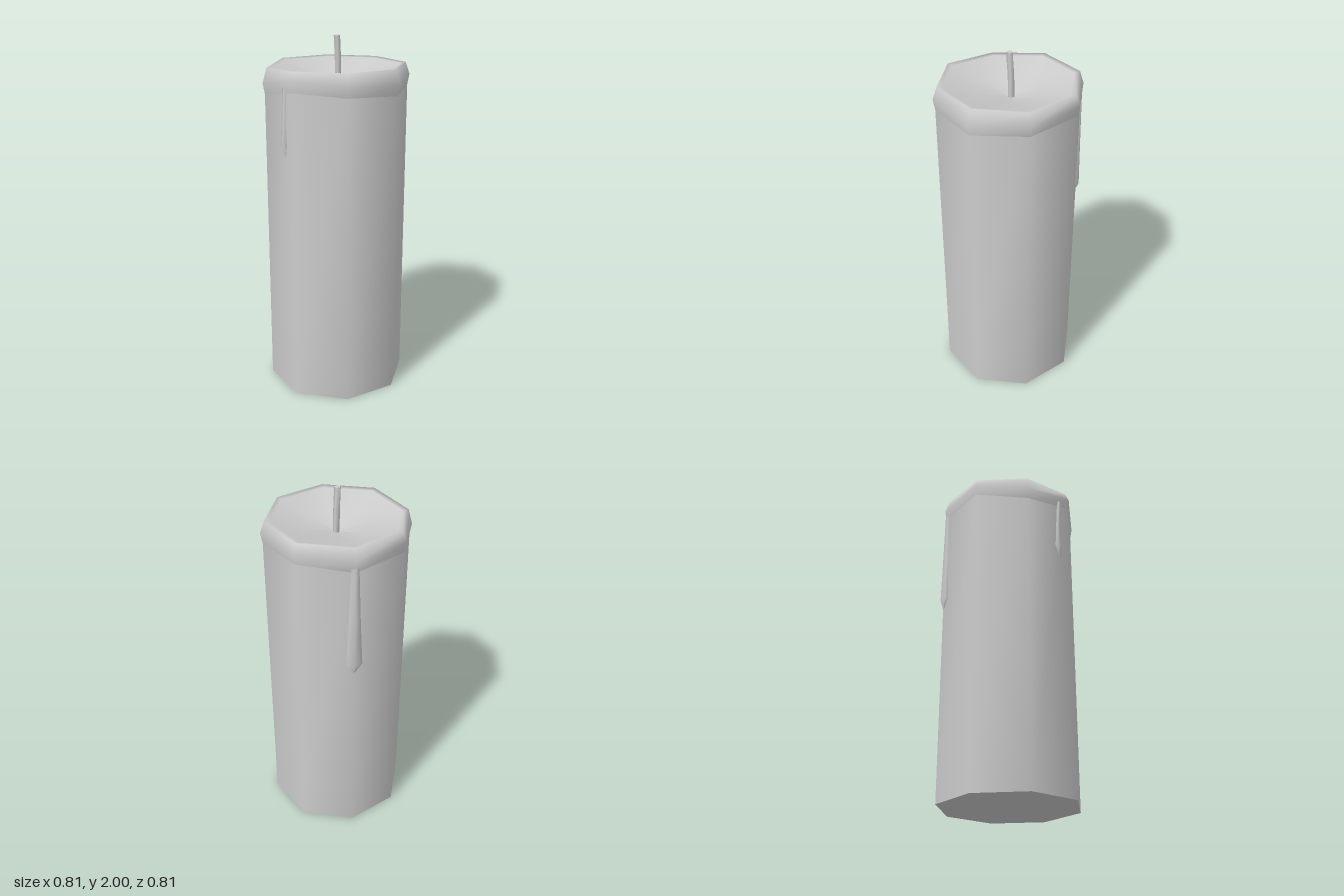
import * as THREE from 'three';

const waxMaterial = new THREE.MeshStandardMaterial({ color: 0xcccccc, side: THREE.DoubleSide });

// Smooth skin through rings of equal point count, listed from bottom to top.
function loft(name, rings) {
  const n = rings[0].length;
  const positions = rings.flat().flatMap((p) => [p.x, p.y, p.z]);
  const index = [];
  for (let r = 0; r < rings.length - 1; r++) {
    for (let i = 0; i < n; i++) {
      const a = r * n + i, b = r * n + (i + 1) % n;
      index.push(a, b, b + n, a, b + n, a + n);
    }
  }
  const geometry = new THREE.BufferGeometry();
  geometry.setAttribute('position', new THREE.Float32BufferAttribute(positions, 3));
  geometry.setIndex(index);
  geometry.computeVertexNormals();
  const mesh = new THREE.Mesh(geometry, waxMaterial);
  mesh.name = name;
  return mesh;
}

// Ring around a vertical axis; point 0 faces +z, then turns towards +x.
function ring(n, radius, heightAt, { x = 0, z = 0, turn = 0, depth = radius } = {}) {
  return Array.from({ length: n }, (_, i) => {
    const a = turn + (i / n) * Math.PI * 2;
    return new THREE.Vector3(x + Math.sin(a) * radius, heightAt(i), z + Math.cos(a) * depth);
  });
}

// Tapered run of wax; each step is [height, sideways offset, distance from axis, half width, depth].
function drip(name, angle, steps) {
  const mesh = loft(name, steps.map(([y, x, z, w, d]) =>
    ring(6, w, () => y, { x, z, depth: d, turn: 0 })));
  mesh.rotation.y = angle;
  return mesh;
}

export function createModel() {
  const group = new THREE.Group();
  group.name = 'candle';
  const sides = 8;

  // Body and its flat base
  group.add(loft('body', [ring(sides, 0.395, () => 0), ring(sides, 0.395, () => 1.78)]));
  const base = new THREE.Mesh(new THREE.CircleGeometry(0.395, sides), waxMaterial);
  base.name = 'base';
  base.rotation.x = Math.PI / 2;
  group.add(base);

  // Melted rim with an uneven lower edge, and a slight dip at the front corner
  const lower = [1.73, 1.715, 1.70, 1.715, 1.73, 1.71, 1.73, 1.68];
  const dip = (i) => (i === 7 ? 0.015 : 0);
  const rimTop = (i) => 1.843 - dip(i);
  group.add(loft('rim', [
    ring(sides, 0.393, (i) => lower[i]),
    ring(sides, 0.406, (i) => lower[i] + 0.07),
    ring(sides, 0.383, (i) => 1.85 - dip(i)),
    ring(sides, 0.355, rimTop),
  ]));

  // Hollow pool of wax sinking towards the wick
  group.add(loft('waxPool', [
    ring(sides, 0.355, rimTop),
    ring(sides, 0.18, () => 1.79),
    ring(sides, 0.001, () => 1.75),
  ]));

  // Wick, bent slightly forward
  const wickSteps = [[1.74, -0.012], [1.88, -0.009], [2, 0]];
  const wickRing = ([y, z]) => ring(5, 0.018, () => y, { z, turn: Math.PI });
  group.add(loft('wick', wickSteps.map(wickRing)));
  group.add(loft('wickTip', [wickRing(wickSteps[2]), ring(5, 0.0005, () => 2, { turn: Math.PI })]));

  // Short drip at the front, long drip at the rear corner
  group.add(drip('frontDrip', 0, [
    [1.385, -0.062, 0.367, 0.002, 0.002],
    [1.45, -0.073, 0.364, 0.024, 0.021],
    [1.6, -0.07, 0.364, 0.018, 0.013],
    [1.76, -0.062, 0.368, 0.014, 0.012],
  ]));
  group.add(drip('rearDrip', Math.PI * 1.25, [
    [1.11, 0, 0.39, 0.003, 0.003],
    [1.17, 0, 0.376, 0.05, 0.036],
    [1.45, 0, 0.378, 0.035, 0.028],
    [1.76, 0, 0.38, 0.022, 0.02],
  ]));
  return group;
}
